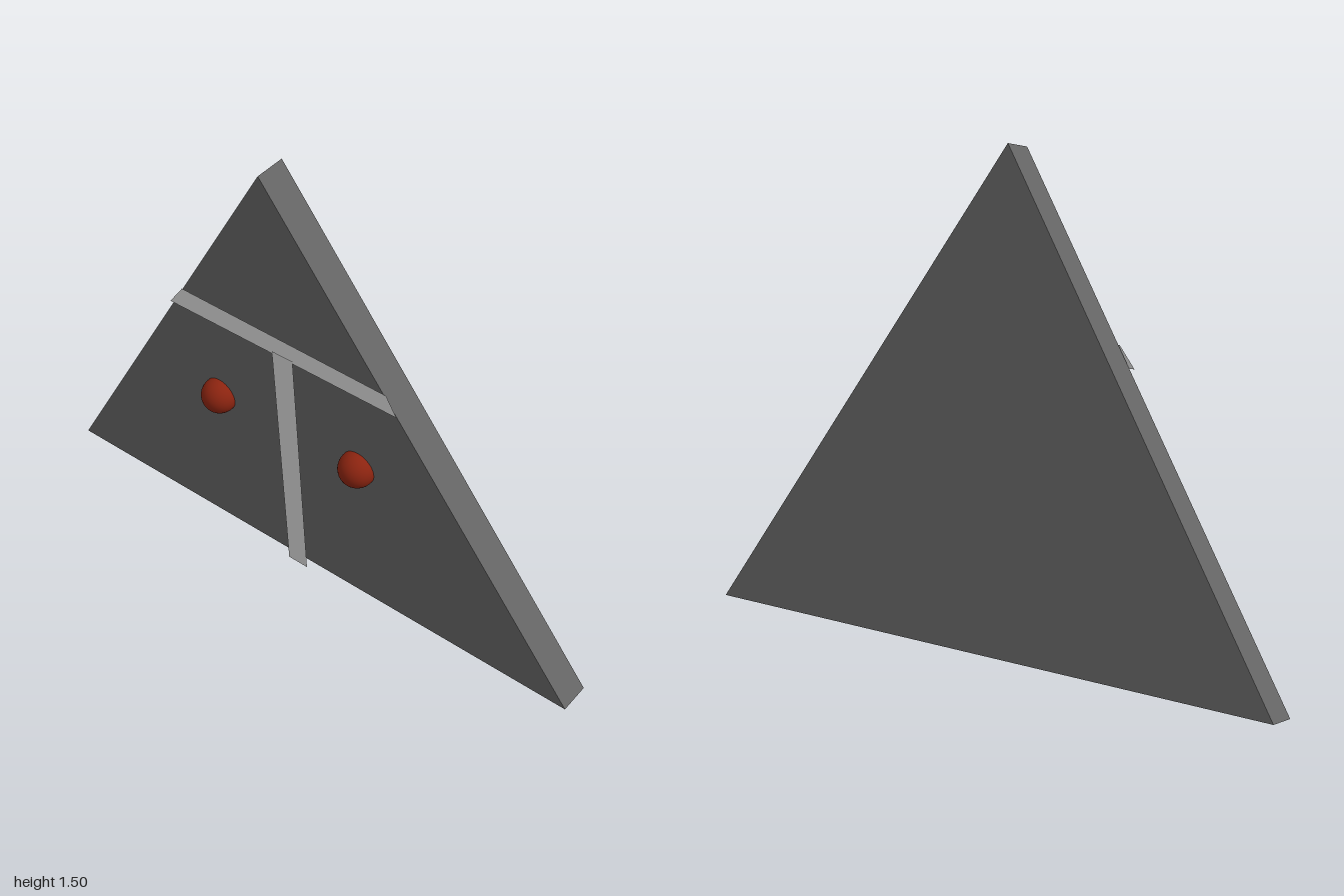
import * as THREE from 'three';

const TILT = 0.131;

// z of the leaning front face at height y
const faceZ = (y) => -0.05 + Math.tan(TILT) * (y - 0.01);

export function createModel() {
  const group = new THREE.Group();
  const slabGrey = new THREE.MeshStandardMaterial({ name: 'slabGrey', color: 0x656565 });
  const paleGrey = new THREE.MeshStandardMaterial({ name: 'paleGrey', color: 0xd8d8d8, side: THREE.DoubleSide });
  const darkRed = new THREE.MeshStandardMaterial({ name: 'darkRed', color: 0x8c2410 });

  const add = (name, geometry, material, x = 0, y = 0, z = 0) => {
    const mesh = new THREE.Mesh(geometry, material);
    mesh.name = name;
    mesh.position.set(x, y, z);
    group.add(mesh);
    return mesh;
  };

  // Triangular slab, leaning forward
  const triangle = new THREE.Shape([[-1, 0], [1, 0], [0, 1.493]].map(([x, y]) => new THREE.Vector2(x, y)));
  const slabGeometry = new THREE.ExtrudeGeometry(triangle, { depth: 0.097, bevelEnabled: false });
  slabGeometry.translate(0, 0, -0.097);
  add('slab', slabGeometry, slabGrey, 0, 0.01, -0.05).rotation.x = TILT;

  // Flat strips: corners [x, y, distance in front of the face], anticlockwise
  const addStrip = (name, corners) => {
    const geometry = new THREE.BufferGeometry();
    const points = corners.flatMap(([x, y, gap]) => [x, y, faceZ(y) + gap]);
    geometry.setAttribute('position', new THREE.Float32BufferAttribute(points, 3));
    geometry.setIndex([0, 1, 2, 0, 2, 3]);
    geometry.computeVertexNormals();
    add(name, geometry, paleGrey);
  };
  addStrip('crossStrip', [[-0.42, 0.878, 0.015], [0.44, 0.87, 0.015], [0.4, 0.925, 0.006], [-0.37, 0.943, 0.006]]);
  addStrip('uprightStrip', [[-0.043, 0, 0.024], [0.032, 0, 0.024], [0.066, 0.885, 0.017], [-0.012, 0.885, 0.017]]);

  // Round eyes
  const eyeGeometry = new THREE.SphereGeometry(0.058, 32, 20);
  add('rightEye', eyeGeometry, darkRed, -0.275, 0.57, 0.03);
  add('leftEye', eyeGeometry, darkRed, 0.27, 0.57, 0.03);

  return group;
}
